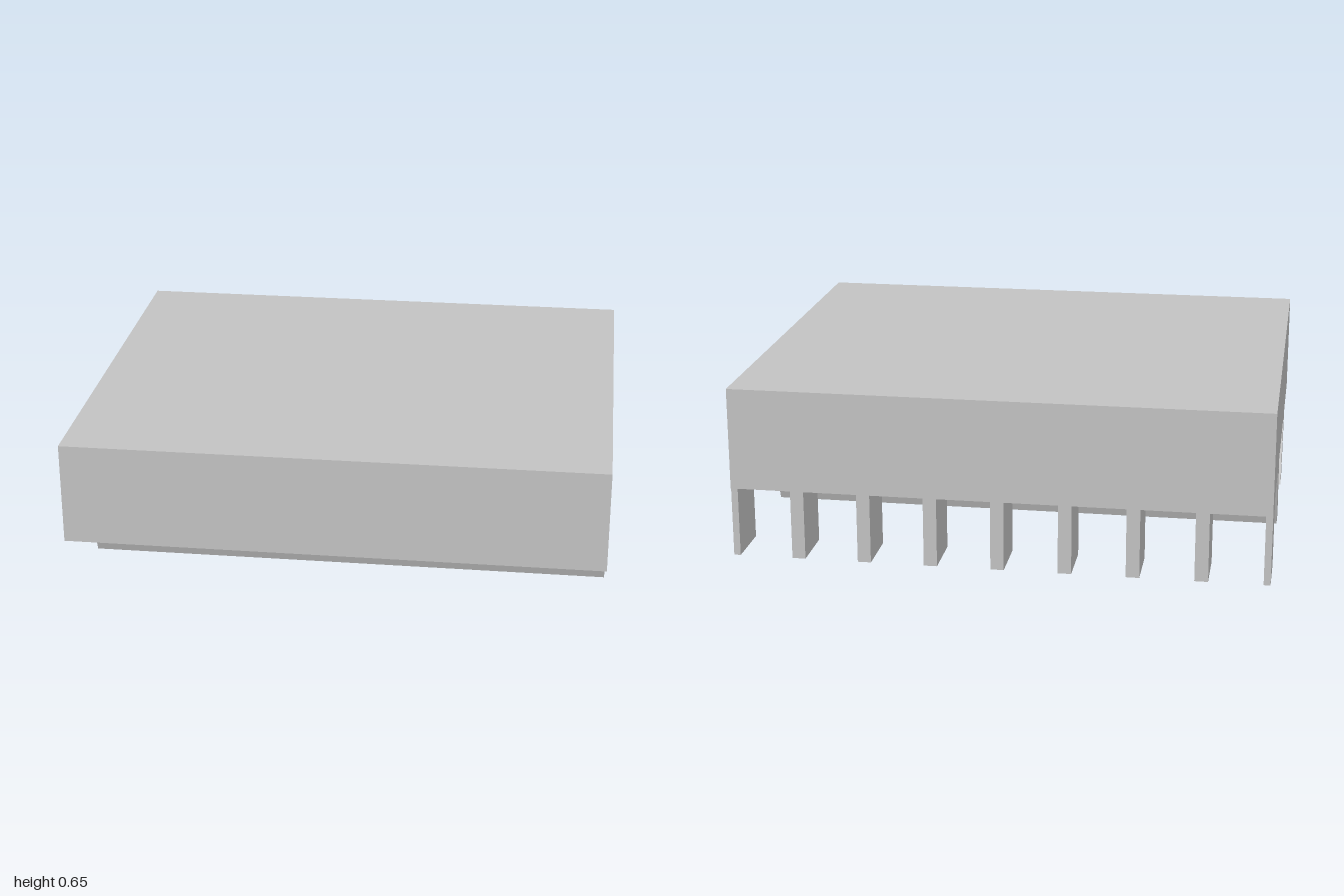
import * as THREE from 'three';

export function createModel() {
  const model = new THREE.Group();
  const grey = new THREE.MeshStandardMaterial({ color: 0xc2c2c2 });
  grey.name = 'plain grey';

  const TOP = 0.65, UNDER = 0.265, WIDTH = 2, DEPTH = 1.68;

  const add = (name, geometry, x = 0, y = 0, z = 0) => {
    const mesh = new THREE.Mesh(geometry, grey);
    mesh.name = name;
    mesh.position.set(x, y, z);
    model.add(mesh);
  };

  // Thick slab on top
  add('slab', new THREE.BoxGeometry(WIDTH, TOP - UNDER, DEPTH), 0, (TOP + UNDER) / 2, 0);

  // Two slanted rails running the full width, leaning towards each other
  const profile = [[0.387, UNDER], [0.289, 0], [0.173, 0], [0.271, 0.247], [0.271, UNDER]];
  const railMiddle = 0.096;
  for (const [side, name] of [[1, 'frontRail'], [-1, 'rearRail']]) {
    // Shape x becomes -z once the extrusion is turned to run along x
    const shape = new THREE.Shape(
      profile.map(([z, y]) => new THREE.Vector2(-(railMiddle + side * z), y)));
    const rail = new THREE.ExtrudeGeometry(shape, { depth: WIDTH, bevelEnabled: false });
    rail.rotateY(Math.PI / 2);
    add(name, rail, -WIDTH / 2);
  }

  // Row of upright fins at the back; the end ones are half as thick
  const count = 9, thickness = 0.05;
  for (let i = 0; i < count; i++) {
    const x = -1 + (i * WIDTH) / (count - 1);
    const x0 = Math.max(-1, x - thickness / 2);
    const x1 = Math.min(1, x + thickness / 2);
    add('rearFin' + (i + 1), new THREE.BoxGeometry(x1 - x0, UNDER, 0.2),
      (x0 + x1) / 2, UNDER / 2, -0.735);
  }

  return model;
}
